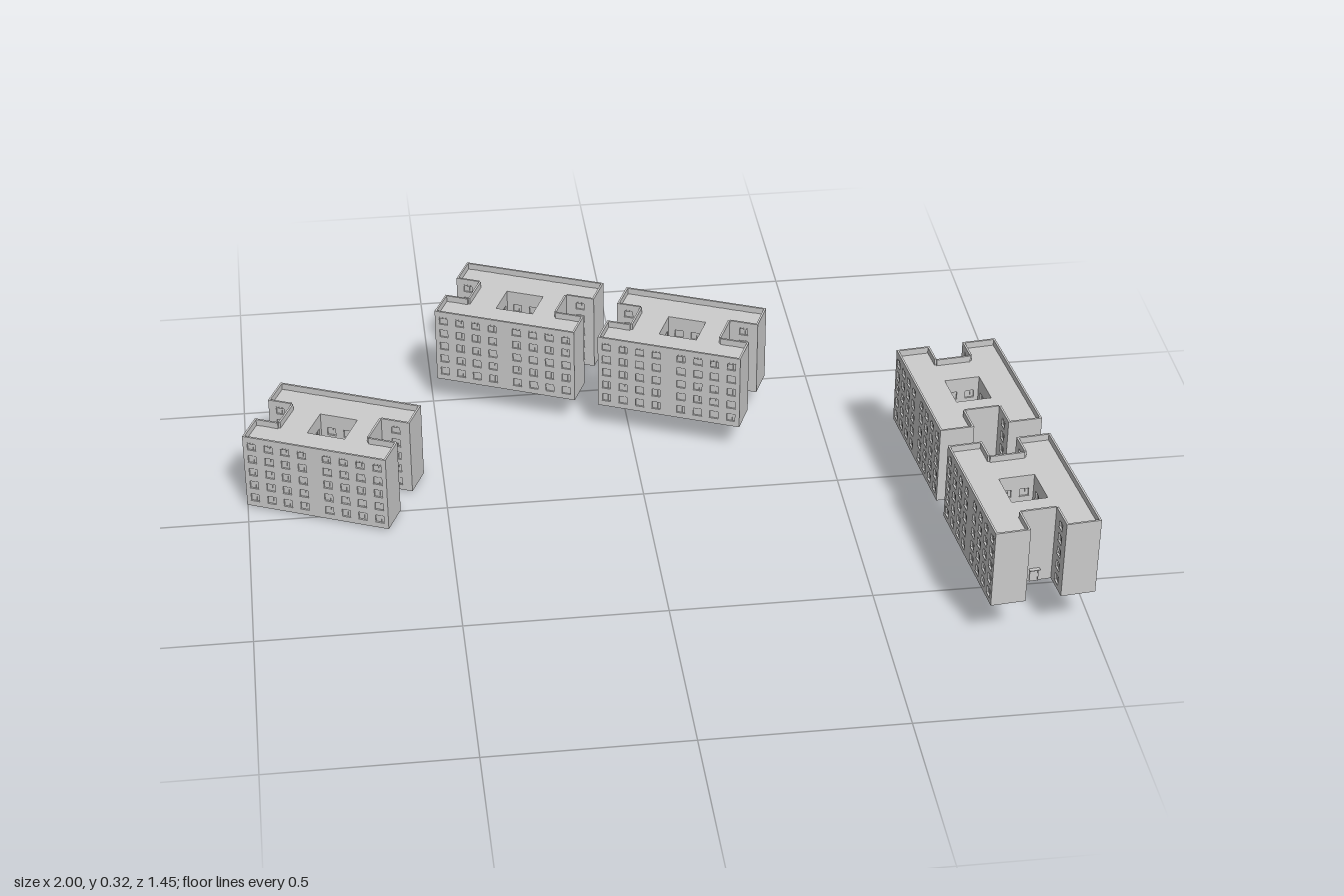
import * as THREE from 'three';
import { mergeGeometries } from 'three/addons/utils/BufferGeometryUtils.js';

const grey = new THREE.MeshStandardMaterial({ color: 0xcccccc, flatShading: true, side: THREE.DoubleSide });
const THICK = 0.005, TOP = 0.207, ROOF = 0.19;
const WIN_W = 0.022, WIN_H = 0.021;
const ROWS = [0, 1, 2, 3, 4].map(i => 0.026 + i * 0.0385);
const FACADE = [-0.167, -0.122, -0.078, -0.033, 0.033, 0.078, 0.122, 0.167];

// Footprint with a notch at each short end, and the inner courtyard
const OUTLINE = [
  [-0.19, 0.13], [0.19, 0.13], [0.19, 0.044], [0.115, 0.044], [0.115, -0.044], [0.19, -0.044],
  [0.19, -0.13], [-0.19, -0.13], [-0.19, -0.044], [-0.127, -0.044], [-0.127, 0.044], [-0.19, 0.044],
];
const COURT = [[-0.05, -0.045], [0.05, -0.045], [0.05, 0.045], [-0.05, 0.045]];

const points = list => list.map(([x, y]) => new THREE.Vector2(x, y));

function mesh(name, geometry) {
  const m = new THREE.Mesh(geometry, grey);
  m.name = name;
  return m;
}

function box(w, h, d, x, y, z) {
  return new THREE.BoxGeometry(w, h, d).translate(x, y, z);
}

function rect(x0, y0, x1, y1) {
  return points([[x0, y0], [x1, y0], [x1, y1], [x0, y1]]);
}

// Wall from a to b, pierced by window columns; its outer face is to the right-hand side
function wall(name, a, b, y0, y1, columns) {
  const dx = b[0] - a[0], dz = b[1] - a[1], half = Math.hypot(dx, dz) / 2;
  const group = new THREE.Group();
  group.name = name;
  group.position.set((a[0] + b[0]) / 2, 0, (a[1] + b[1]) / 2);
  group.rotation.y = Math.atan2(-dz, dx);

  const shape = new THREE.Shape(rect(-half, y0, half, y1));
  const panes = [], frames = [];
  for (const x of columns) {
    for (const y of ROWS) {
      if (y + WIN_H / 2 > y1) continue;
      shape.holes.push(new THREE.Path(rect(x - WIN_W / 2, y - WIN_H / 2, x + WIN_W / 2, y + WIN_H / 2)));
      panes.push(new THREE.PlaneGeometry(WIN_W, WIN_H).translate(x, y, -THICK * 0.8));
      // mullion and sill
      frames.push(box(0.0015, WIN_H, 0.0015, x + 0.003, y, -THICK * 0.6));
      frames.push(box(WIN_W + 0.002, 0.0015, 0.003, x, y - WIN_H / 2, 0));
    }
  }
  const slab = new THREE.ExtrudeGeometry(shape, { depth: THICK, bevelEnabled: false });
  group.add(mesh('wallPanel', slab.translate(0, 0, -THICK)));
  if (panes.length) {
    group.add(mesh('windowPanes', mergeGeometries(panes)));
    group.add(mesh('windowFrames', mergeGeometries(frames)));
  }
  return group;
}

function createBlock() {
  const block = new THREE.Group();

  // Outer walls: windows on the long facades and the sides of the notches
  OUTLINE.forEach((a, i) => {
    const b = OUTLINE[(i + 1) % OUTLINE.length];
    const alongX = Math.abs(a[1] - b[1]) < 0.001;
    const isFacade = alongX && Math.abs(a[1]) > 0.1;
    const columns = isFacade ? FACADE : alongX ? [0] : [];
    block.add(wall(isFacade ? 'facade' : alongX ? 'notchSide' : 'endWall', a, b, 0, TOP, columns));
  });

  // Courtyard walls reach slightly below the base
  COURT.forEach((a, i) => {
    block.add(wall('courtyardWall', a, COURT[(i + 1) % 4], -0.007, ROOF, [-0.022, 0.022]));
  });

  // Roof slab sunk behind the parapet
  const roofShape = new THREE.Shape(points(OUTLINE));
  roofShape.holes.push(new THREE.Path(points(COURT)));
  const roof = new THREE.ExtrudeGeometry(roofShape, { depth: 0.003, bevelEnabled: false });
  block.add(mesh('roof', roof.rotateX(Math.PI / 2).translate(0, ROOF, 0)));

  // Entrance in the deeper notch
  block.add(mesh('entrance', mergeGeometries([
    box(0.002, 0.032, 0.018, 0.1155, 0.016, 0),
    box(0.004, 0.034, 0.002, 0.116, 0.017, 0.01),
    box(0.004, 0.034, 0.002, 0.116, 0.017, -0.01),
    box(0.01, 0.002, 0.026, 0.12, 0.035, 0),
  ])));
  return block;
}

export function createModel() {
  const model = new THREE.Group();
  model.name = 'housingEstate';
  const block = createBlock();
  // x, base height, z, turn in degrees
  const places = [
    [-0.775, 0.007, -0.11, -23.5],
    [-0.262, 0.08, -0.53, -23.5],
    [0.145, 0.08, -0.35, -23.5],
    [0.807, 0.112, 0.077, -84.5],
    [0.848, 0.112, 0.522, -84.5],
  ];
  places.forEach(([x, y, z, turn], i) => {
    const copy = block.clone();
    copy.name = 'apartmentBlock' + (i + 1);
    copy.position.set(x, y, z);
    copy.rotation.y = THREE.MathUtils.degToRad(turn);
    model.add(copy);
  });
  return model;
}
